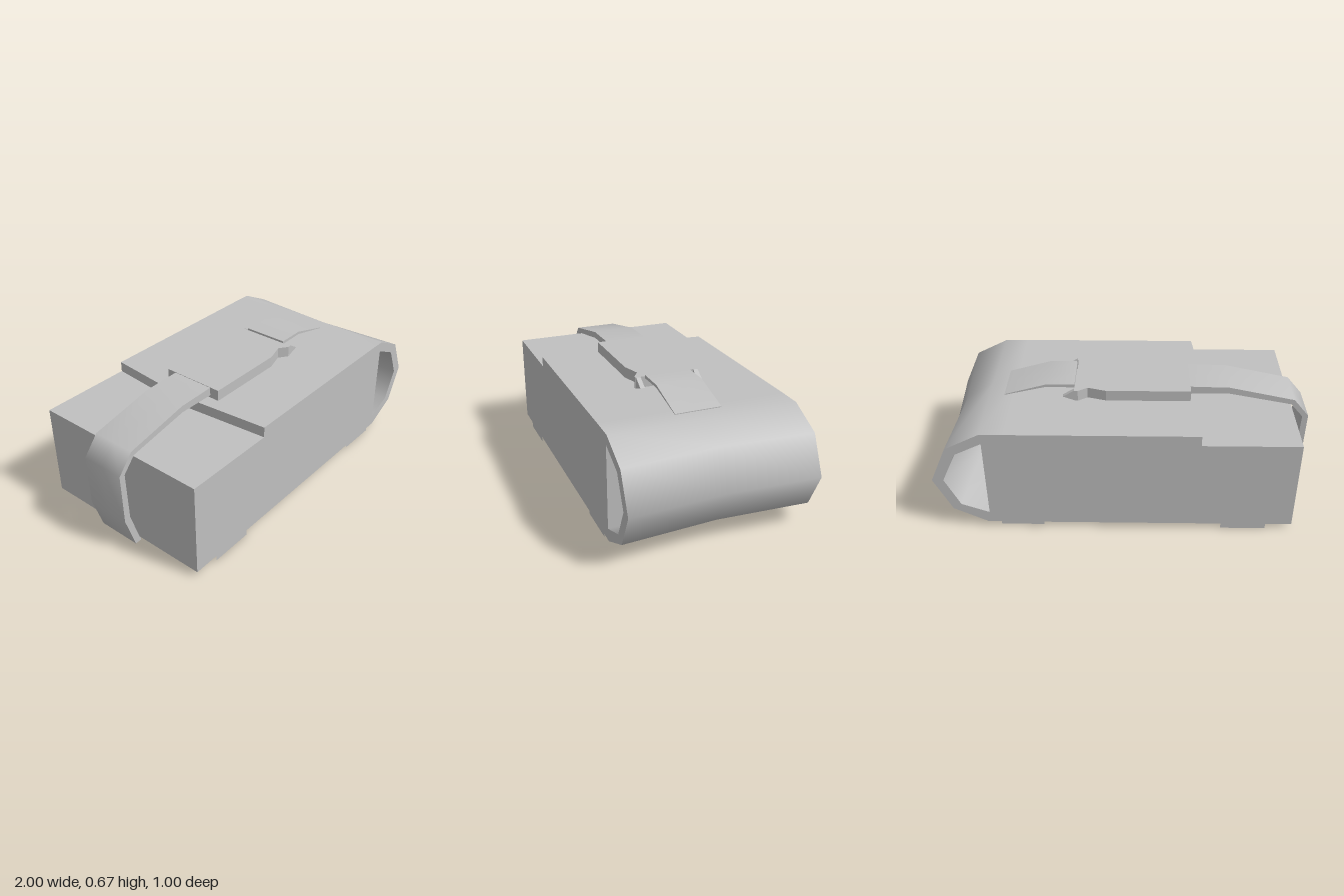
import * as THREE from 'three';
import { mergeGeometries } from 'three/addons/utils/BufferGeometryUtils.js';

// Surface swept across z through a 2D path; shift(x) moves the middle row in x
function surface(path, half, shift) {
  const pos = [], index = [];
  path.forEach(([x, y], i) => {
    for (let j = 0; j < 3; j++) pos.push(x + (j === 1 ? shift(x) : 0), y, (j - 1) * half);
    if (i === path.length - 1) return;
    for (let j = 0; j < 2; j++) {
      const a = i * 3 + j;
      index.push(a, a + 1, a + 3, a + 3, a + 1, a + 4);
    }
  });
  const g = new THREE.BufferGeometry();
  g.setAttribute('position', new THREE.Float32BufferAttribute(pos, 3));
  g.setIndex(index);
  g.computeVertexNormals();
  return g;
}

// Thick band between an outer and an inner path, smooth along its length
function band(outer, inner, half, shift = () => 0) {
  const last = (p) => p[p.length - 1];
  const back = [...inner].reverse();
  const shape = new THREE.Shape([...outer, ...back].map(([x, y]) => new THREE.Vector2(x, y)));
  const front = new THREE.ShapeGeometry(shape).translate(0, 0, half);
  front.deleteAttribute('uv');
  const rear = front.clone().translate(0, 0, -2 * half);
  rear.setIndex([...rear.index.array].reverse());
  rear.computeVertexNormals();
  return mergeGeometries([
    surface(outer, half, shift),
    surface(back, half, shift),
    surface([inner[0], outer[0]], half, shift),
    surface([last(outer), last(inner)], half, shift),
    front, rear,
  ]);
}

// Box between two corners, keeping only the listed sides (0..5: +x -x +y -y +z -z)
function openBox(min, max, sides = [0, 1, 2, 3, 4, 5]) {
  const size = max.map((v, i) => v - min[i]);
  const g = new THREE.BoxGeometry(...size);
  const all = [...g.index.array];
  g.setIndex(sides.flatMap((s) => all.slice(s * 6, s * 6 + 6)));
  g.clearGroups();
  return g.translate(...max.map((v, i) => (v + min[i]) / 2));
}

export function createModel() {
  const group = new THREE.Group();
  const grey = new THREE.MeshStandardMaterial({ color: 0xc0c0c0 });
  grey.name = 'grey';
  const add = (name, geometry) => {
    const mesh = new THREE.Mesh(geometry, grey);
    mesh.name = name;
    group.add(mesh);
  };

  // Pouch body
  add('body', openBox([-0.9, 0.03, -0.5], [0.72, 0.545, 0.5]));

  // Flap lying on the top and wrapping round the right end as an open loop
  add('flap', band(
    [[-0.39, 0.602], [0.6, 0.602], [0.73, 0.6], [0.91, 0.51], [1, 0.31], [0.91, 0.12], [0.73, 0.03]],
    [[-0.39, 0.545], [0.72, 0.545], [0.865, 0.475], [0.94, 0.31], [0.865, 0.15], [0.72, 0.095], [0.72, 0.03]],
    0.5, (x) => (x < -0.3 ? -0.045 : x > 0.85 ? -0.03 : 0)));

  // Strap round the left end
  add('strap', band(
    [[-0.905, 0.018], [-0.94, 0.018], [-0.995, 0.2], [-1, 0.48], [-0.915, 0.58], [-0.56, 0.655], [-0.34, 0.66]],
    [[-0.902, 0.03], [-0.91, 0.04], [-0.96, 0.21], [-0.968, 0.475], [-0.9, 0.553], [-0.56, 0.618], [-0.34, 0.615]],
    0.12));

  // Buckle plate with a waist
  const side = [[-0.35, 0.173], [0.1, 0.173], [0.2, 0.143], [0.25, 0.178], [0.265, 0.178]];
  const outline = [...side, ...side.map(([x, z]) => [x, -z]).reverse()];
  const plate = new THREE.ExtrudeGeometry(
    new THREE.Shape(outline.map(([x, z]) => new THREE.Vector2(x, z))), { depth: 0.06, bevelEnabled: false });
  add('buckle', plate.rotateX(-Math.PI / 2).translate(0, 0.602, 0));

  // Pointed buckle prongs
  const prong = new THREE.Shape(
    [[0.25, 0.662], [0.27, 0.662], [0.33, 0.625], [0.265, 0.602], [0.25, 0.602]].map(([x, y]) => new THREE.Vector2(x, y)));
  for (const z of [-0.175, 0.15]) {
    add('buckleProng', new THREE.ExtrudeGeometry(prong, { depth: 0.025, bevelEnabled: false }).translate(0, 0, z));
  }

  // Strap tail running from the buckle down onto the flap
  add('strapTail', band(
    [[0.27, 0.67], [0.42, 0.67], [0.65, 0.606]],
    [[0.27, 0.652], [0.42, 0.655], [0.65, 0.602]], 0.125));

  // Webbing under the body: one lengthwise strip and two crosswise strips
  add('lengthWebbing', openBox([-0.52, 0.002, -0.12], [0.66, 0.03, 0.12], [0, 3]));
  add('leftWebbing', openBox([-0.76, 0, -0.5], [-0.52, 0.03, 0.5], [3, 4, 5]));
  add('rightWebbing', openBox([0.43, 0.014, -0.5], [0.66, 0.03, 0.5], [3, 4, 5]));

  return group;
}
